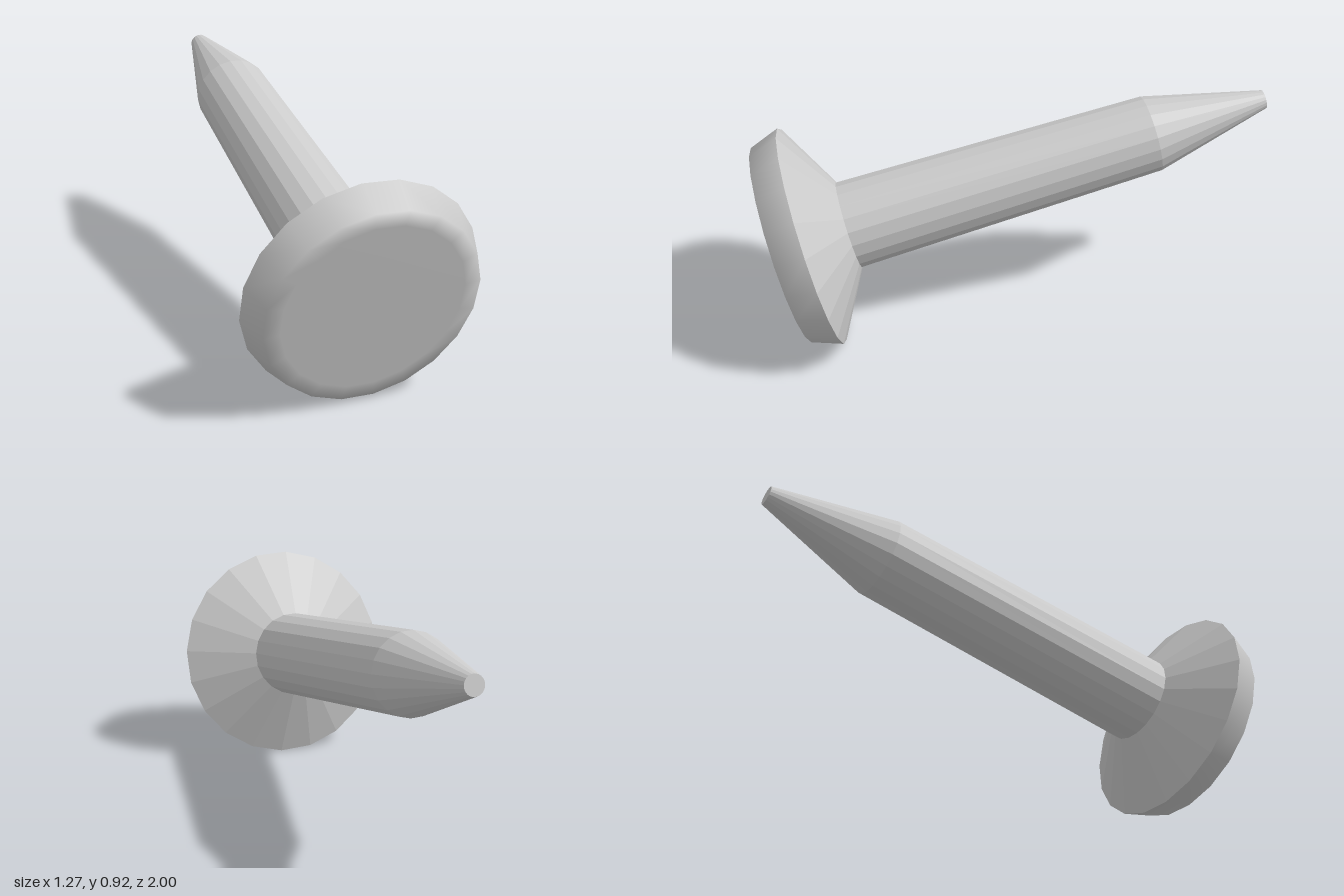
import * as THREE from 'three';

const SIDES = 20;

export function createModel() {
  const model = new THREE.Group();
  model.name = 'nail';
  const flat = new THREE.MeshStandardMaterial({ color: 0xcccccc, flatShading: true });
  const smooth = new THREE.MeshStandardMaterial({ color: 0xcccccc });

  // The nail is built along local +y (towards the tip), with y = 0 at the widest rim
  const nail = new THREE.Group();
  nail.name = 'nailBody';
  model.add(nail);

  const add = (name, geometry, material) => {
    const mesh = new THREE.Mesh(geometry, material);
    mesh.name = name;
    nail.add(mesh);
  };
  const section = (name, y0, r0, y1, r1, open = true) => {
    const g = new THREE.CylinderGeometry(r1, r0, y1 - y0, SIDES, 1, open);
    g.translate(0, (y0 + y1) / 2, 0);
    add(name, g, flat);
  };

  // Head: flat face softly shaded into a flared rim
  const profile = [[0, -0.125], [0.35, -0.125], [0.411, -0.123], [0.455, 0]]
    .map(([r, y]) => new THREE.Vector2(r, y));
  add('headFace', new THREE.LatheGeometry(profile, SIDES), smooth);

  // Underside of the head, shaft and blunt point
  section('headUnderside', 0, 0.455, 0.155, 0.18);
  section('shaft', 0.155, 0.18, 1.43, 0.157);
  section('point', 1.43, 0.157, 1.913, 0.038, false);

  // Lean the nail so it rests on the edge of its head, tip up and back
  const axis = new THREE.Vector3(-0.425, 0.229, -0.876).normalize();
  const side = new THREE.Vector3(1, 0, 0).addScaledVector(axis, -axis.x).normalize();
  const third = new THREE.Vector3().crossVectors(side, axis);
  nail.quaternion.setFromRotationMatrix(new THREE.Matrix4().makeBasis(side, axis, third));
  nail.position.set(0.213, 0.445, 0.693);
  return model;
}
